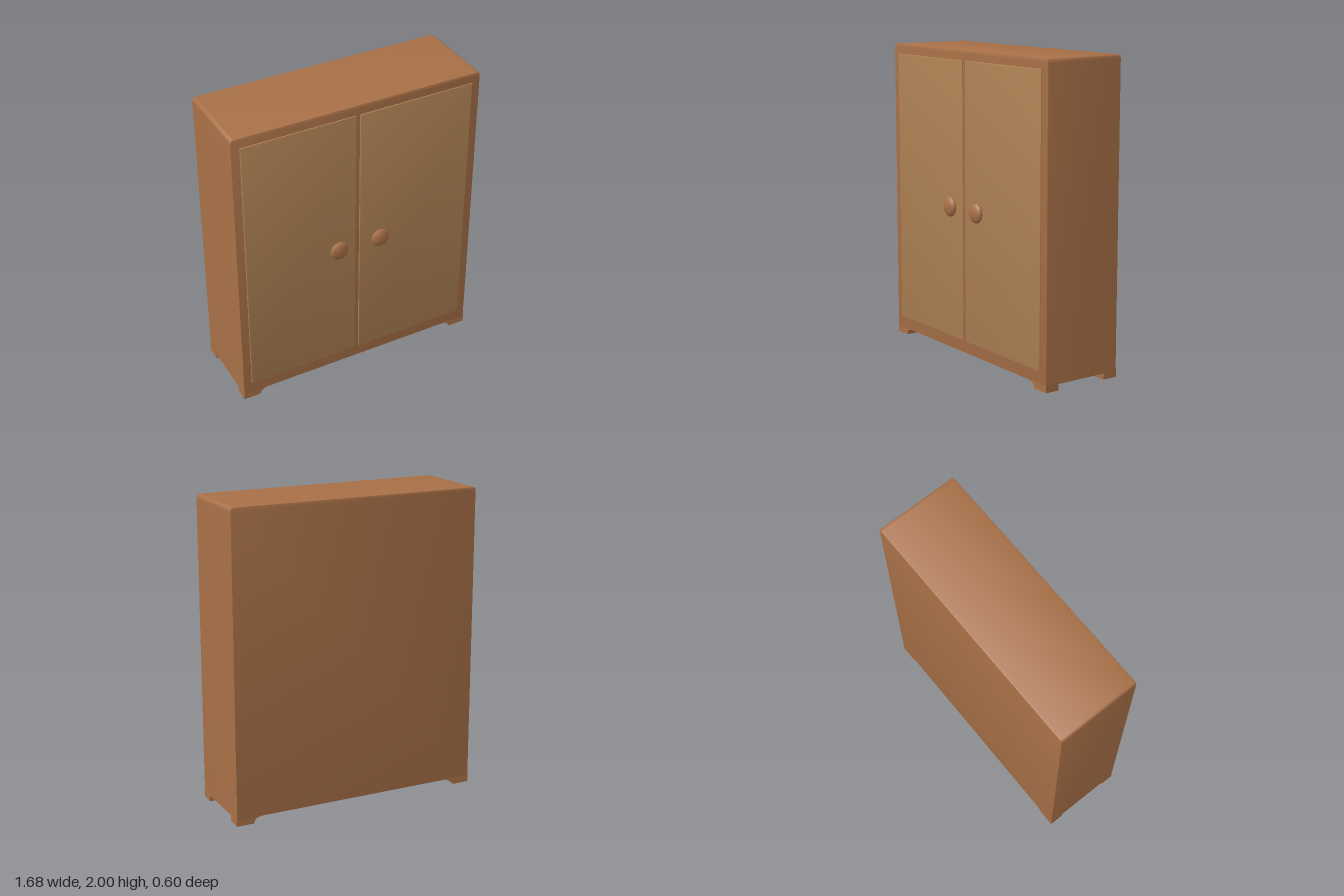
import * as THREE from 'three';
import { toCreasedNormals } from 'three/addons/utils/BufferGeometryUtils.js';

const wood = new THREE.MeshStandardMaterial({ color: 0xa87047 });
const doorWood = new THREE.MeshStandardMaterial({ color: 0xad8053 });

const BACK = -0.298, FRONT = 0.253, HALF = 0.84, BASE = 0.04;

function addMesh(parent, name, geometry, material) {
  const mesh = new THREE.Mesh(geometry, material);
  mesh.name = name;
  parent.add(mesh);
  return mesh;
}

// Extrudes a shape from z0 to z1, bevel included and kept inside the outline
function slab(shape, z0, z1, bevel, segments = 2) {
  const geometry = new THREE.ExtrudeGeometry(shape, {
    depth: z1 - z0 - 2 * bevel, bevelEnabled: bevel > 0, bevelThickness: bevel,
    bevelSize: bevel, bevelOffset: -bevel, bevelSegments: segments, curveSegments: 6,
  });
  geometry.translate(0, 0, z0 + bevel);
  return toCreasedNormals(geometry, 0.7);
}

function rectangle(x0, y0, x1, y1) {
  return new THREE.Shape([[x0, y0], [x1, y0], [x1, y1], [x0, y1]].map(p => new THREE.Vector2(...p)));
}

export function createModel() {
  const wardrobe = new THREE.Group();
  wardrobe.name = 'wardrobe';

  // Cabinet box with softened top corners
  const r = 0.025;
  const outline = new THREE.Shape();
  outline.moveTo(-HALF, BASE);
  outline.lineTo(HALF, BASE);
  outline.lineTo(HALF, 2 - r);
  outline.quadraticCurveTo(HALF, 2, HALF - r, 2);
  outline.lineTo(-HALF + r, 2);
  outline.quadraticCurveTo(-HALF, 2, -HALF, 2 - r);
  addMesh(wardrobe, 'cabinet', slab(outline, BACK, FRONT, 0.007), wood);

  // Four corner feet, curving into the underside
  for (const side of [-1, 1]) {
    const foot = new THREE.Shape();
    foot.moveTo(side * HALF, 0);
    foot.lineTo(side * HALF, BASE + 0.02);
    foot.lineTo(side * 0.68, BASE + 0.02);
    foot.lineTo(side * 0.68, BASE);
    foot.quadraticCurveTo(side * 0.72, BASE - 0.002, side * 0.725, 0);
    addMesh(wardrobe, 'frontFoot', slab(foot, 0.158, FRONT - 0.001, 0), wood);
    addMesh(wardrobe, 'backFoot', slab(foot, BACK + 0.001, -0.198, 0), wood);
  }

  // Two slightly raised doors with a narrow seam between them
  const seam = -0.012;
  const doors = [['rightDoor', -0.785, seam - 0.012], ['leftDoor', seam + 0.012, 0.785]];
  for (const [name, x0, x1] of doors) {
    addMesh(wardrobe, name, slab(rectangle(x0, 0.12, x1, 1.935), FRONT - 0.02, 0.261, 0.009), doorWood);
  }

  // Flattened round knobs on short necks
  const profile = [[0.04, 0], [0.045, 0.006], [0.06, 0.012], [0.065, 0.02], [0.06, 0.03],
    [0.045, 0.039], [0.025, 0.045], [0, 0.047]].map(p => new THREE.Vector2(...p));
  const knobGeometry = new THREE.LatheGeometry(profile, 16).rotateX(Math.PI / 2);
  for (const [name, x] of [['rightKnob', -0.15], ['leftKnob', 0.142]]) {
    addMesh(wardrobe, name, knobGeometry, wood).position.set(x, 0.99, 0.255);
  }

  return wardrobe;
}
